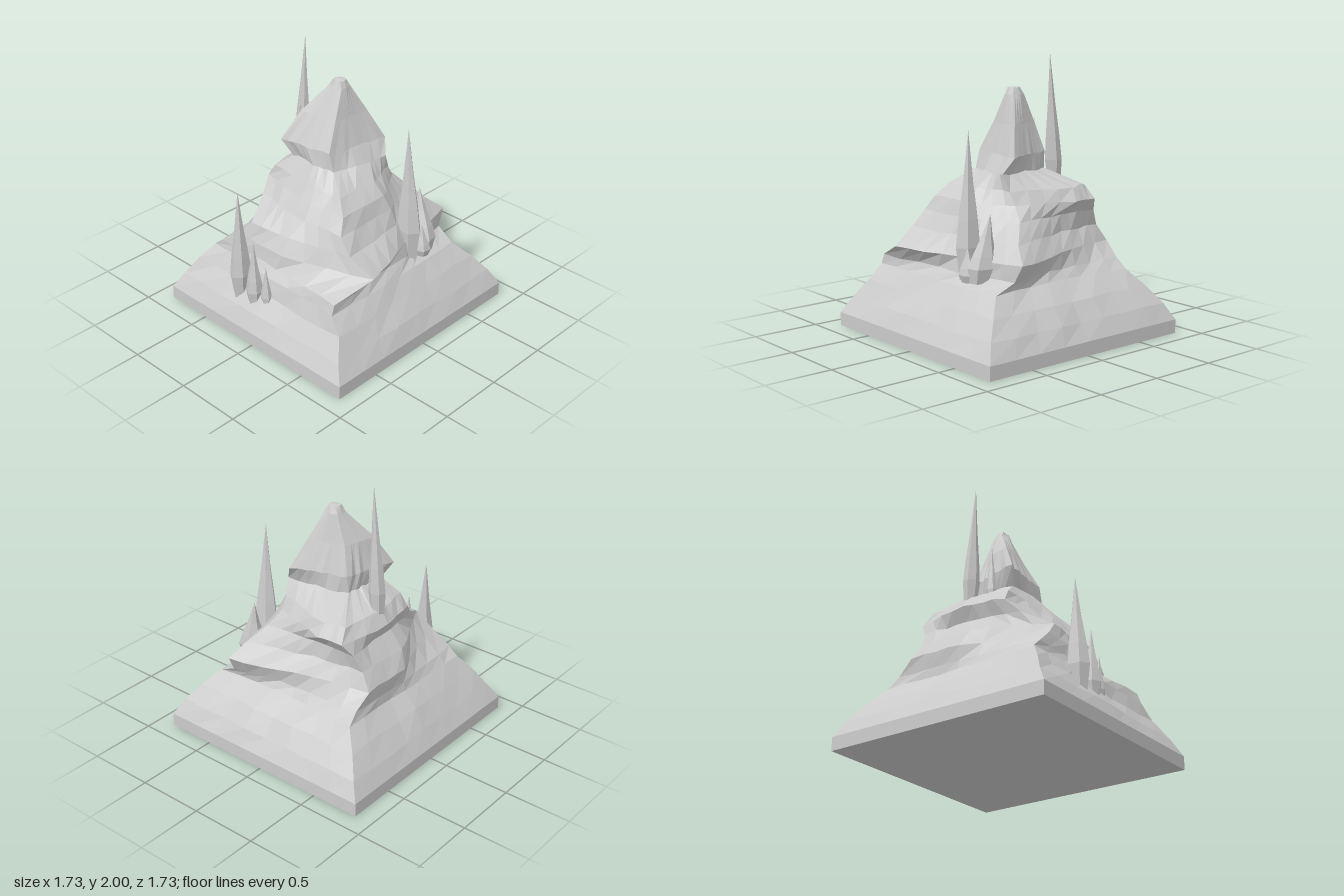
import * as THREE from 'three';

const rock = new THREE.MeshStandardMaterial({ color: 0xcccccc, flatShading: true });

// Small repeatable noise in -1..1
const noise = (a, b) => {
  const s = Math.sin(a * 127.1 + b * 311.7) * 43758.5453;
  return 2 * (s - Math.floor(s)) - 1;
};

// Cross-sections: height, then x,z of back-left, back, back-right, right,
// front-right, front, front-left, left (as seen facing the front)
const square = (y, s) => [y, -s, -s, 0, -s, s, -s, s, 0, s, s, 0, s, -s, s, -s, 0];
const foot = [square(0.1, 0.865), square(0.22, 0.8), square(0.35, 0.71)];
const terraces = [
  [0.47, -.63, -.63, 0, -.61, .61, -.60, .57, -.05, .60, .60, 0, .63, -.68, .62, -.67, 0],
  [0.54, -.62, -.56, 0, -.60, .52, -.60, .53, -.05, .62, .46, .14, .56, -.65, .62, -.62, 0],
  [0.65, -.60, -.40, 0, -.60, .40, -.61, .54, -.05, .69, .44, .14, .55, -.38, .72, -.60, .05],
  [0.77, -.57, -.29, -.05, -.55, .37, -.53, .43, -.14, .57, .37, .12, .48, -.41, .53, -.53, .05],
  [0.89, -.35, -.39, .05, -.45, .40, -.47, .42, -.14, .46, .26, .10, .43, -.40, .43, -.43, 0],
  [0.99, -.25, -.44, .05, -.50, .47, -.43, .49, -.22, .36, .22, .08, .39, -.33, .38, -.36, 0],
];
const summit = [
  [1.08, -.24, -.37, .05, -.44, .40, -.39, .44, -.24, .31, .22, .05, .31, -.27, .30, -.28, 0],
  [1.19, -.18, -.25, .02, -.24, .16, -.22, .21, -.06, .25, .24, .06, .21, -.18, .14, -.20, -.02],
  [1.31, -.23, -.32, .02, -.25, .16, -.22, .22, -.04, .30, .18, .06, .15, -.17, .10, -.20, -.1],
  [1.52, -.12, -.23, .02, -.20, .12, -.16, .16, -.04, .21, .10, .05, .08, -.07, .06, -.10, -.08],
  [1.72, .02, -.09, .06, -.09, .10, -.08, .12, -.03, .11, .03, .06, .04, .02, .03, 0, -.03],
  [1.77, .03, -.06, .06, -.07, .09, -.05, .10, -.02, .09, .01, .06, .02, .03, .01, .03, -.02],
];

// Skins the cross-sections, splitting every side into smaller rough facets
function mountainGeometry(rings, split) {
  const n = 8 * split, pos = [], index = [];
  rings.forEach((ring, r) => {
    const rough = r === 0 || r > rings.length - 4 ? 0 : 0.008;
    for (let i = 0; i < n; i++) {
      const k = Math.floor(i / split), t = (i % split) / split, m = (k + 1) % 8;
      const mix = (o) => ring[1 + 2 * k + o] * (1 - t) + ring[1 + 2 * m + o] * t;
      pos.push(mix(0) + rough * noise(i, r), ring[0] + rough * noise(i + 50, r), mix(1) + rough * noise(i, r + 50));
    }
  });
  for (let r = 0; r < rings.length - 1; r++)
    for (let i = 0; i < n; i++) {
      const a = r * n + i, b = r * n + (i + 1) % n;
      index.push(a, a + n, b, b, a + n, b + n);
    }
  // Flat tip
  const last = (rings.length - 1) * n;
  pos.push(0.063, 1.775, -0.025);
  for (let i = 0; i < n; i++) index.push(last + i, last + n, last + (i + 1) % n);
  const g = new THREE.BufferGeometry();
  g.setAttribute('position', new THREE.Float32BufferAttribute(pos, 3));
  g.setIndex(index);
  g.computeVertexNormals();
  return g;
}

// Pointed rock: narrow foot, wide waist, long taper leaning towards its tip
function spire(name, [x, y, z], [tx, ty, tz], radius, depth = 1) {
  const h = ty - y;
  const profile = [[0, 0], [0.7, 0], [1, 0.22], [0.8, 0.4], [0.42, 0.65], [0, 1]]
    .map(([r, t]) => new THREE.Vector2(r * radius, t * h));
  const g = new THREE.LatheGeometry(profile, 6, x * 5);
  const p = g.attributes.position;
  for (let i = 0; i < p.count; i++) {
    const t = p.getY(i) / h;
    p.setX(i, p.getX(i) + x + (tx - x) * t);
    p.setZ(i, p.getZ(i) * depth + z + (tz - z) * t);
    p.setY(i, p.getY(i) + y);
  }
  g.computeVertexNormals();
  const mesh = new THREE.Mesh(g, rock);
  mesh.name = name;
  return mesh;
}

export function createModel() {
  const model = new THREE.Group();
  model.name = 'mountain';

  const slab = new THREE.Mesh(new THREE.BoxGeometry(1.73, 0.1, 1.73), rock);
  slab.position.y = 0.05;
  slab.name = 'baseSlab';

  const body = new THREE.Mesh(mountainGeometry([...foot, ...terraces, ...summit], 4), rock);
  body.name = 'terracedPeak';

  const frontSpires = new THREE.Group();
  frontSpires.name = 'frontSpires';
  frontSpires.add(
    spire('tallSpire', [0.21, 0.5, 0.52], [0.195, 1.52, 0.5], 0.075, 1.4),
    spire('shortSpire', [0.35, 0.5, 0.53], [0.38, 0.97, 0.46], 0.09, 1.2),
    spire('stubSpire', [0.29, 0.5, 0.58], [0.28, 0.74, 0.58], 0.065),
  );

  const sideSpires = new THREE.Group();
  sideSpires.name = 'sideSpires';
  sideSpires.add(
    spire('tallSpire', [-0.72, 0.25, -0.25], [-0.715, 1.09, -0.26], 0.09, 0.8),
    spire('shortSpire', [-0.73, 0.25, -0.1], [-0.73, 0.76, -0.1], 0.065),
    spire('stubSpire', [-0.72, 0.28, 0.01], [-0.72, 0.6, 0.01], 0.035, 1.3),
  );

  const backSpires = new THREE.Group();
  backSpires.name = 'backSpires';
  backSpires.add(
    spire('tallSpire', [0.06, 1.0, -0.41], [0.06, 2, -0.36], 0.055, 1.2),
    spire('shortSpire', [-0.05, 1.06, -0.31], [-0.05, 1.53, -0.31], 0.04, 0.8),
  );

  model.add(slab, body, frontSpires, sideSpires, backSpires);
  return model;
}
